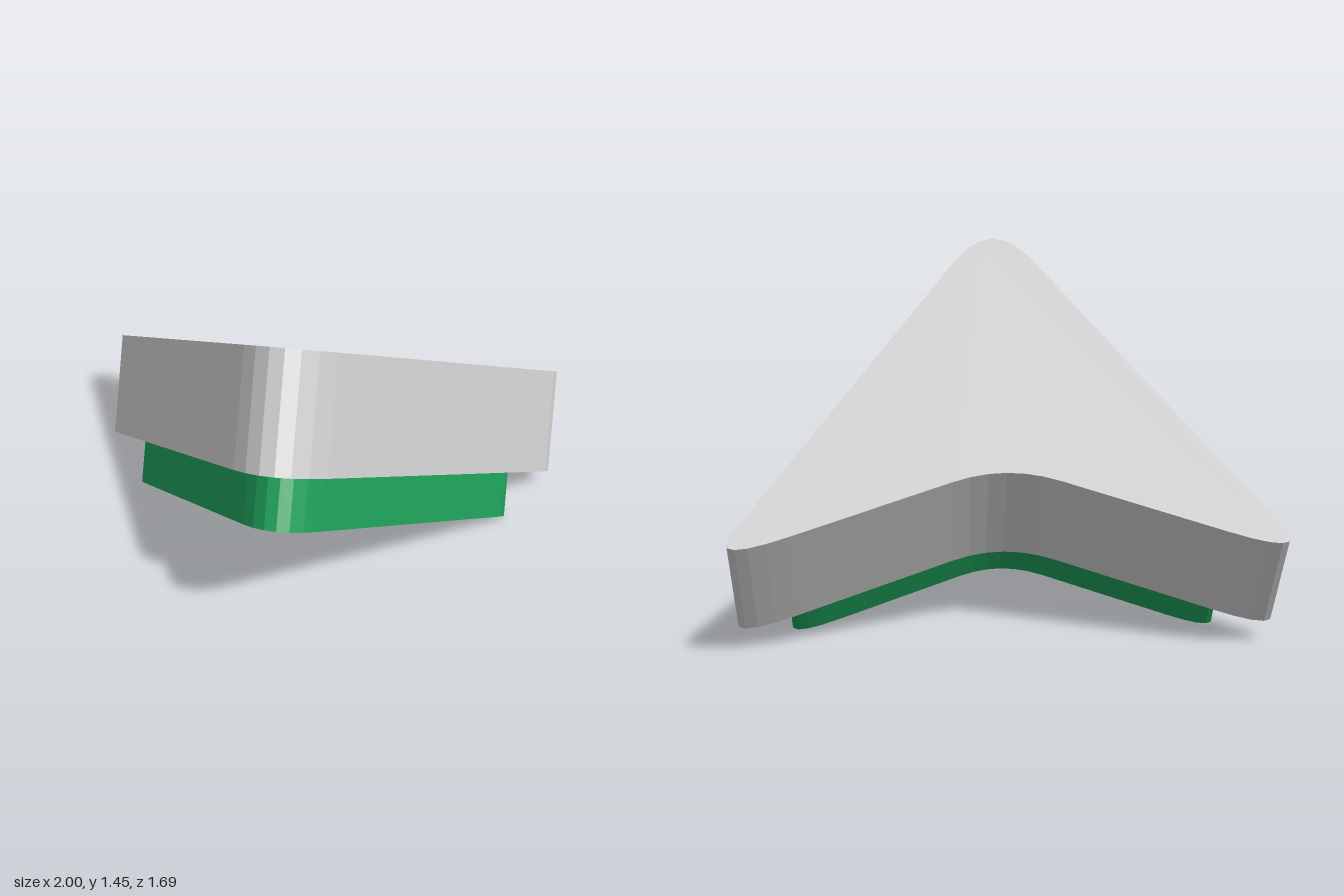
import * as THREE from 'three';

const TILT = THREE.MathUtils.degToRad(35);
const TOP_THICKNESS = 0.449;
const BASE_THICKNESS = 0.207;

// Chevron outline with rounded nose, tips and notch; +y is the nose direction
function chevron() {
  const k = 1 / Math.cos(TILT); // plan depth to depth along the slope
  const s = new THREE.Shape();
  const curve = (cx, cy, x, y) => s.quadraticCurveTo(cx, cy * k, x, y * k);
  s.moveTo(0.17, 0.453 * k);
  curve(0, 0.712, -0.17, 0.453); // nose
  s.lineTo(-0.986, -0.791 * k);
  curve(-1.057, -0.9, -0.775, -0.798); // right tip
  s.lineTo(-0.2, -0.592 * k);
  curve(0, -0.52, 0.2, -0.592); // notch
  s.lineTo(0.775, -0.798 * k);
  curve(1.057, -0.9, 0.986, -0.791); // left tip
  s.closePath();
  return s;
}

function slab(name, depth, color) {
  const geometry = new THREE.ExtrudeGeometry(chevron(), { depth, bevelEnabled: false, curveSegments: 6 });
  const mesh = new THREE.Mesh(geometry, new THREE.MeshStandardMaterial({ color }));
  mesh.name = name;
  return mesh;
}

export function createModel() {
  const model = new THREE.Group();
  model.name = 'tiltedArrowhead';

  // Both slabs share one tilted frame: y runs up to the nose, z runs down through the thickness
  const tilted = new THREE.Group();
  tilted.name = 'arrowhead';
  tilted.rotation.x = Math.PI / 2 - TILT;
  tilted.position.y = 1.046;
  model.add(tilted);

  tilted.add(slab('topSlab', TOP_THICKNESS, 0xcccccc));

  // Smaller coloured slab under the top one
  const base = slab('baseSlab', BASE_THICKNESS, 0x1e9c58);
  base.scale.set(0.82, 0.82, 1);
  base.position.set(0, -0.036, TOP_THICKNESS);
  tilted.add(base);

  return model;
}
